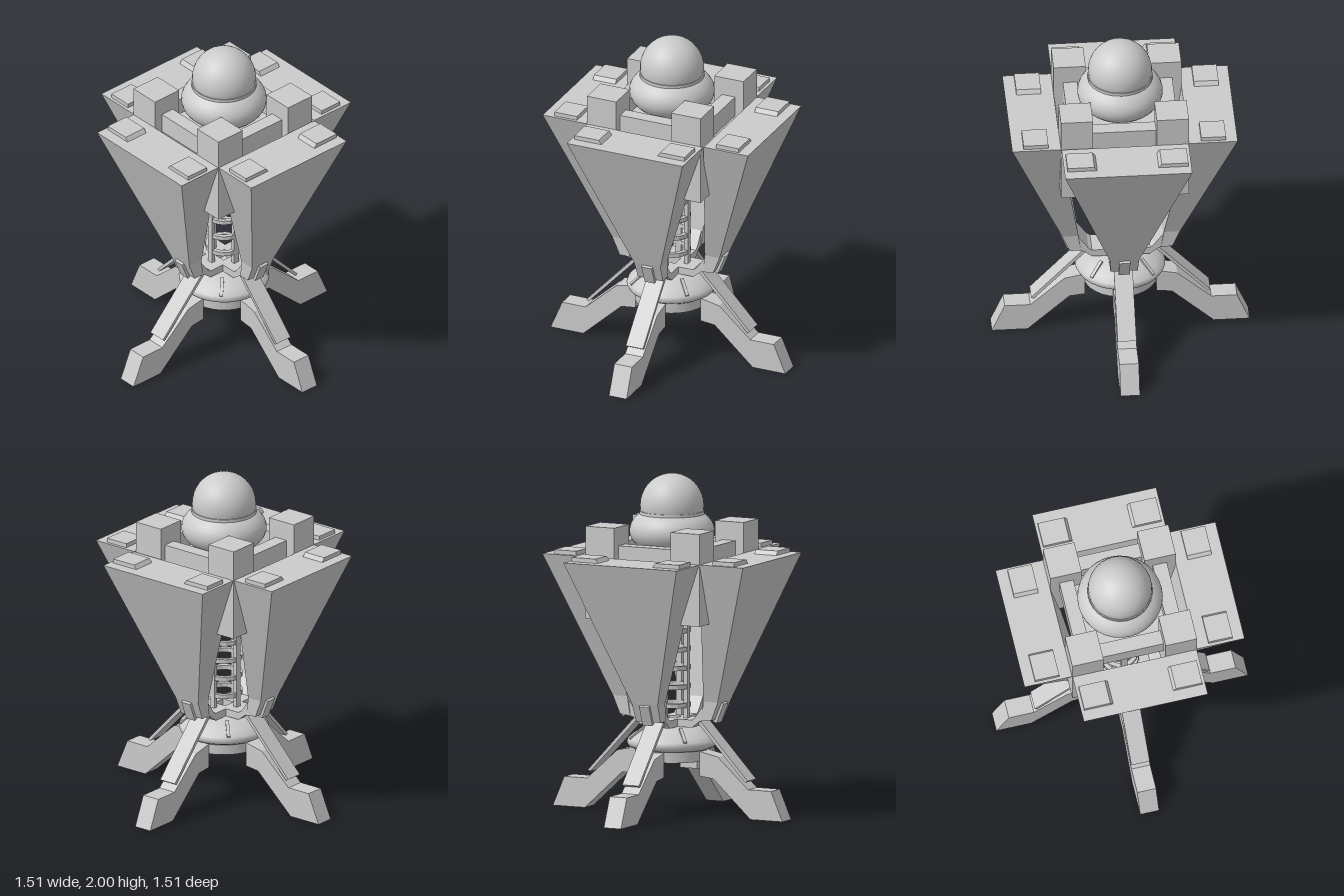
import * as THREE from 'three';

const smooth = new THREE.MeshStandardMaterial({ color: 0xcccccc, side: THREE.DoubleSide });
const flat = new THREE.MeshStandardMaterial({ color: 0xcccccc, flatShading: true });

function add(parent, name, geometry, material = flat) {
  const mesh = new THREE.Mesh(geometry, material);
  mesh.name = name;
  parent.add(mesh);
  return mesh;
}

// Axis-aligned box from its min and max corners
function box(parent, name, a, b) {
  const mesh = add(parent, name, new THREE.BoxGeometry(b[0] - a[0], b[1] - a[1], b[2] - a[2]));
  mesh.position.set((a[0] + b[0]) / 2, (a[1] + b[1]) / 2, (a[2] + b[2]) / 2);
  return mesh;
}

// Side profile in (radius, height), extruded to a width centred on z = 0
function slab(parent, name, points, width, z = 0) {
  const shape = new THREE.Shape(points.map(([x, y]) => new THREE.Vector2(x, y)));
  const geometry = new THREE.ExtrudeGeometry(shape, { depth: width, bevelEnabled: false });
  geometry.translate(0, 0, z - width / 2);
  return add(parent, name, geometry);
}

// Tapered hull panel: [height, inner radius, outer radius, half width] at three levels
function panelGeometry() {
  const rows = [[0.57, 0.235, 0.3, 0.08], [0.68, 0.25, 0.345, 0.085], [1.53, 0.375, 0.66, 0.372]];
  const geometry = new THREE.BoxGeometry(2, 2, 2, 1, 2, 1);
  const p = geometry.attributes.position;
  for (let i = 0; i < p.count; i++) {
    const [y, inner, outer, half] = rows[Math.round(p.getY(i)) + 1];
    p.setXYZ(i, p.getX(i) > 0 ? outer : inner, y, p.getZ(i) * half);
  }
  geometry.computeVertexNormals();
  return geometry;
}

// One quarter of the craft, built along +x
function createSide() {
  const side = new THREE.Group();
  add(side, 'hullPanel', panelGeometry());
  slab(side, 'clasp', [[0.31, 0.55], [0.355, 0.665], [0.33, 0.68], [0.285, 0.56]], 0.065);
  slab(side, 'hubArm', [[0.04, 0.52], [0.17, 0.52], [0.22, 0.56], [0.28, 0.57],
    [0.29, 0.66], [0.255, 0.67], [0.19, 0.58], [0.17, 0.565], [0.04, 0.565]], 0.15);
  slab(side, 'ramp', [[0.19, 0.555], [0.51, 0.215], [0.525, 0.225], [0.2, 0.575]], 0.11);
  slab(side, 'leg', [[0.755, 0], [0.68, 0.175], [0.53, 0.175], [0.33, 0.355],
    [0.21, 0.38], [0.21, 0.235], [0.3, 0.225], [0.545, 0]], 0.113);
  // Raised pads with one sloped edge, on top of the panel
  for (const s of [-1, 1]) {
    const pad = slab(side, 'topPad', [[-0.087, 0], [0.087, 0], [0.087, 0.025], [-0.07, 0.025]], 0.145);
    pad.rotation.y = -s * Math.PI / 2;
    pad.position.set(0.52, 1.53, s * 0.267);
  }
  // Beam joining two corner blocks
  box(side, 'crossBeam', [0.235, 1.48, -0.19], [0.32, 1.6, 0.19]);
  // Upright of the inner cage
  box(side, 'cagePost', [0.085, 0.56, -0.018], [0.11, 1.48, 0.018]);
  return side;
}

export function createModel() {
  const model = new THREE.Group();
  model.name = 'landingCraft';

  for (let i = 0; i < 4; i++) {
    const side = createSide();
    side.name = 'side' + (i + 1);
    side.rotation.y = i * Math.PI / 2;
    model.add(side);

    // Vent on the base ring, between the legs
    const vent = new THREE.Group();
    vent.name = 'vent' + (i + 1);
    vent.rotation.y = (i + 0.5) * Math.PI / 2;
    slab(vent, 'ventBar', [[0.16, 0.5], [0.25, 0.43], [0.26, 0.45], [0.17, 0.52]], 0.02);
    model.add(vent);
  }

  // Corner blocks between the panels
  for (const x of [-1, 1]) for (const z of [-1, 1]) {
    const shift = x > 0 && z > 0 ? -0.018 : 0;
    const cx = x * 0.28 + shift, cz = z * 0.28;
    box(model, 'cornerBlock', [cx - 0.094, 1.165, cz - 0.094], [cx + 0.094, 1.71, cz + 0.094]);
  }

  // Rings of the inner cage
  for (let y = 0.64; y < 1.45; y += 0.11) {
    const profile = [[0.085, -0.013], [0.11, -0.013], [0.11, 0.013], [0.085, 0.013], [0.085, -0.013]];
    const ring = add(model, 'cageRing', new THREE.LatheGeometry(
      profile.map(([r, h]) => new THREE.Vector2(r, h)), 16),
      new THREE.MeshStandardMaterial({ color: 0xcccccc, flatShading: true, side: THREE.DoubleSide }));
    ring.position.y = y;
  }

  // Platform and two-tier dome
  box(model, 'platform', [-0.24, 1.46, -0.24], [0.24, 1.5, 0.24]);
  const lower = add(model, 'lowerDome', new THREE.SphereGeometry(0.25, 32, 20), smooth);
  lower.scale.y = 0.6;
  lower.position.y = 1.665;
  const neck = add(model, 'domeNeck', new THREE.CylinderGeometry(0.19, 0.19, 0.12, 32), smooth);
  neck.position.y = 1.72;
  const upper = add(model, 'upperDome', new THREE.SphereGeometry(0.187, 32, 20), smooth);
  upper.position.y = 1.813;

  // Base drum and rounded ring
  const drum = add(model, 'baseDrum', new THREE.CylinderGeometry(0.217, 0.217, 0.1, 32), smooth);
  drum.position.y = 0.37;
  const ringProfile = [[0, 0.385], [0.23, 0.385], [0.255, 0.4], [0.265, 0.42], [0.258, 0.44],
    [0.23, 0.465], [0.17, 0.505], [0.1, 0.52], [0, 0.52]];
  add(model, 'baseRing', new THREE.LatheGeometry(
    ringProfile.map(([r, y]) => new THREE.Vector2(r, y)), 32), smooth);

  return model;
}
